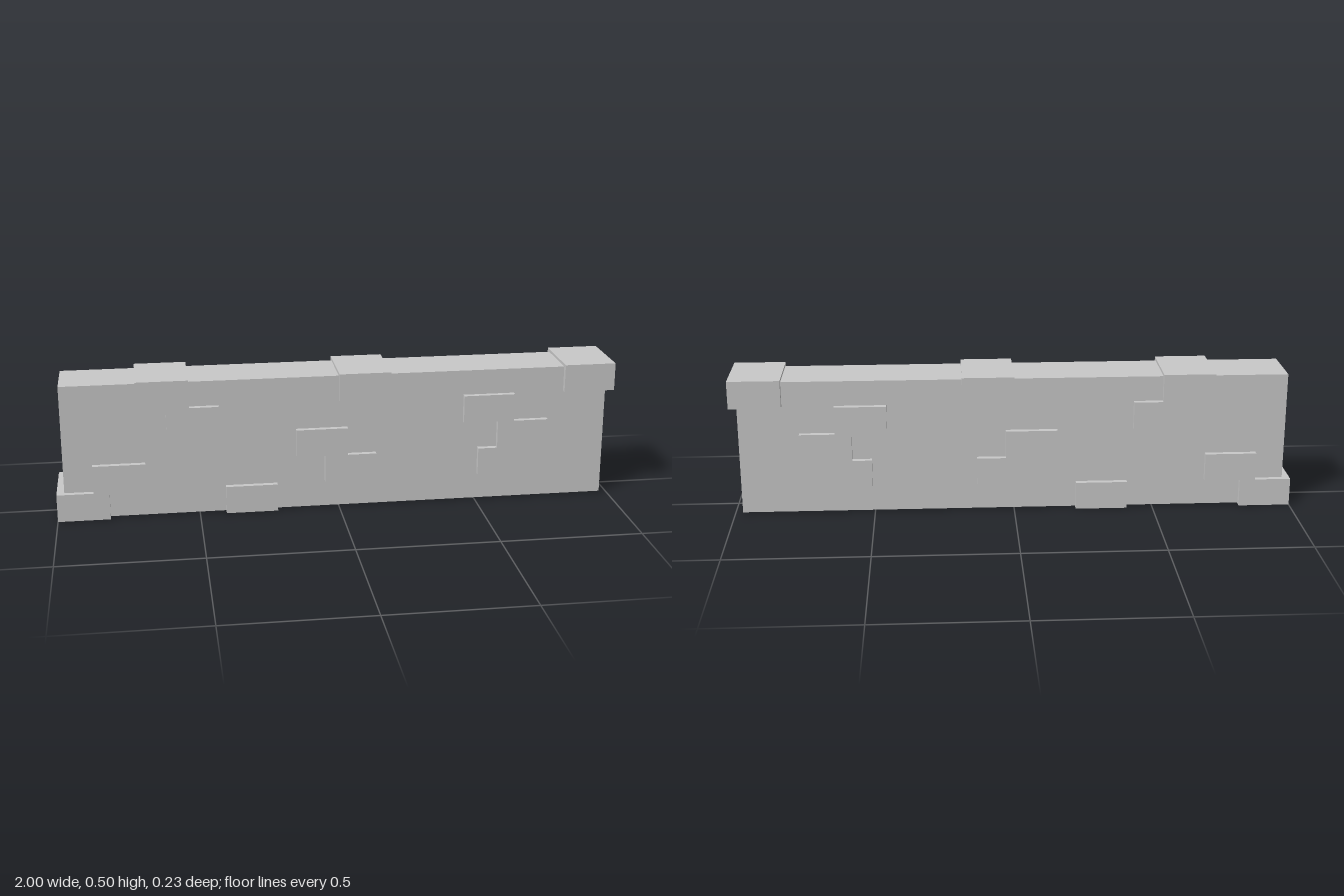
import * as THREE from 'three';

export function createModel() {
  const group = new THREE.Group();
  const stone = new THREE.MeshStandardMaterial({ color: 0xc8c8c8 });
  stone.name = 'grey stone';

  const block = (name, x, y, w, h, d) => {
    const mesh = new THREE.Mesh(new THREE.BoxGeometry(w, h, d), stone);
    mesh.name = name;
    mesh.position.set(x, y, 0);
    group.add(mesh);
  };

  // Plain wall slab
  block('wallCore', 0, 0.247, 1.946, 0.486, 0.195);

  // Raised bricks run through the wall and stand out on both faces:
  // [centre x, course number from the ground]
  const courseHeight = 0.1;
  const bricks = [
    [-0.908, 0], [-0.314, 0],
    [-0.779, 1], [0.041, 1], [0.598, 1],
    [-0.062, 2], [0.667, 2],
    [-0.517, 3], [0.542, 3],
    [-0.62, 4], [0.092, 4], [0.908, 4],
  ];
  for (const [x, course] of bricks) {
    block('brick', x, (course + 0.5) * courseHeight, 0.184, courseHeight, 0.234);
  }
  return group;
}
